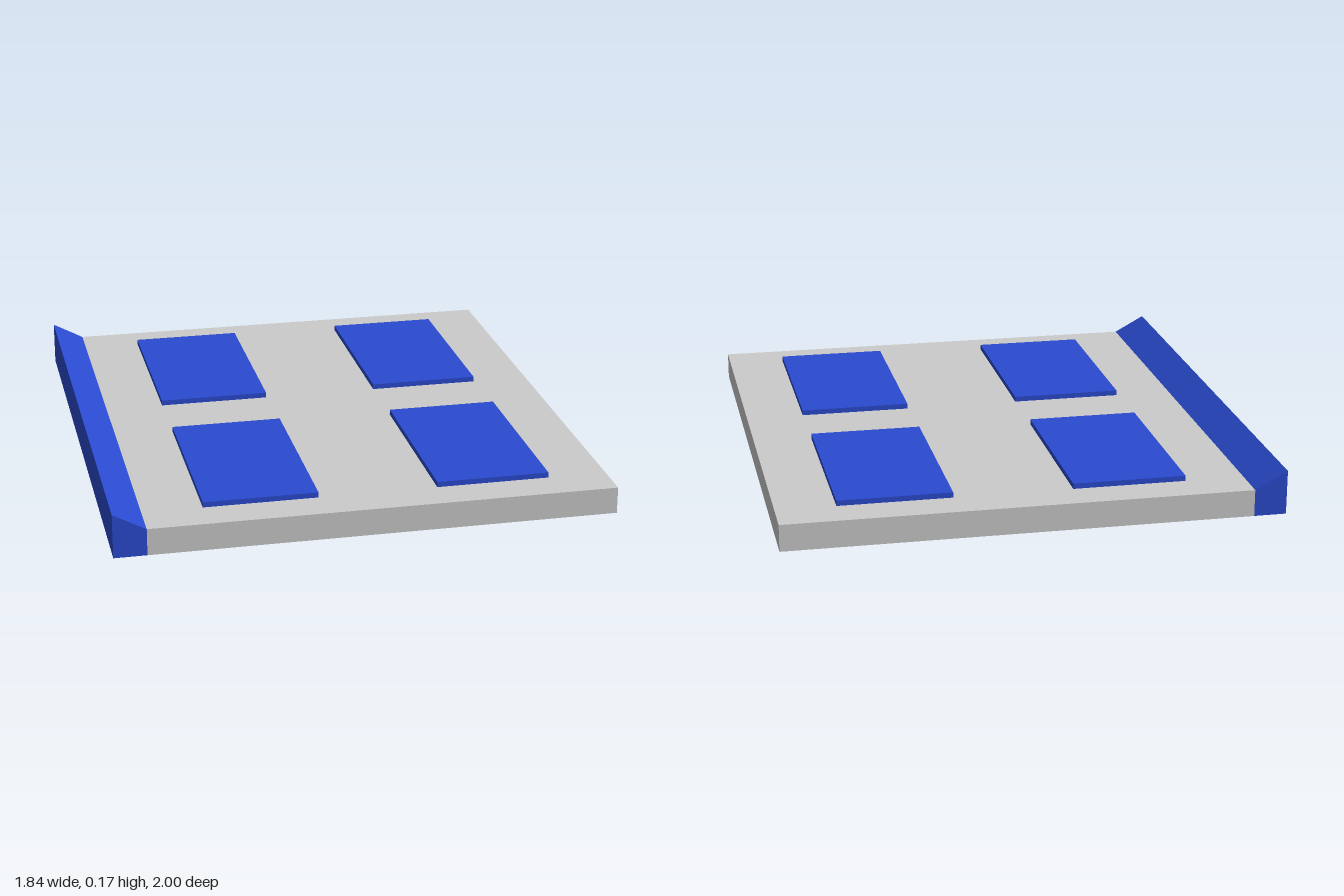
import * as THREE from 'three';

const grey = new THREE.MeshStandardMaterial({ color: 0xcccccc });
const blue = new THREE.MeshStandardMaterial({ color: 0x2a4bd0 });

// Box given by its minimum and maximum corners
function block(name, min, max, material) {
  const size = max.map((v, i) => v - min[i]);
  const mesh = new THREE.Mesh(new THREE.BoxGeometry(...size), material);
  mesh.position.set(...min.map((v, i) => (v + max[i]) / 2));
  mesh.name = name;
  return mesh;
}

export function createModel() {
  const model = new THREE.Group();
  model.name = 'panelledSlab';

  const edgeX = -0.8, top = 0.1;

  // Flat base slab
  model.add(block('slab', [edgeX, 0, -1], [0.92, top, 1], grey));

  // Raised edge strip, its top sloping up towards the outside
  const profile = new THREE.Shape([
    new THREE.Vector2(-0.92, 0),
    new THREE.Vector2(edgeX, 0),
    new THREE.Vector2(edgeX, top),
    new THREE.Vector2(-0.92, 0.165),
  ]);
  const strip = new THREE.Mesh(
    new THREE.ExtrudeGeometry(profile, { depth: 2, bevelEnabled: false }), blue);
  strip.position.z = -1;
  strip.name = 'edgeStrip';
  model.add(strip);

  // Four thin panels in a two by two layout
  const panels = new THREE.Group();
  panels.name = 'panels';
  for (const [side, x] of [['Right', -0.58], ['Left', 0.28]]) {
    for (const [end, z] of [['back', -0.86], ['front', 0.14]]) {
      panels.add(block(`${end}${side}Panel`, [x, top, z], [x + 0.42, 0.12, z + 0.72], blue));
    }
  }
  model.add(panels);

  return model;
}
